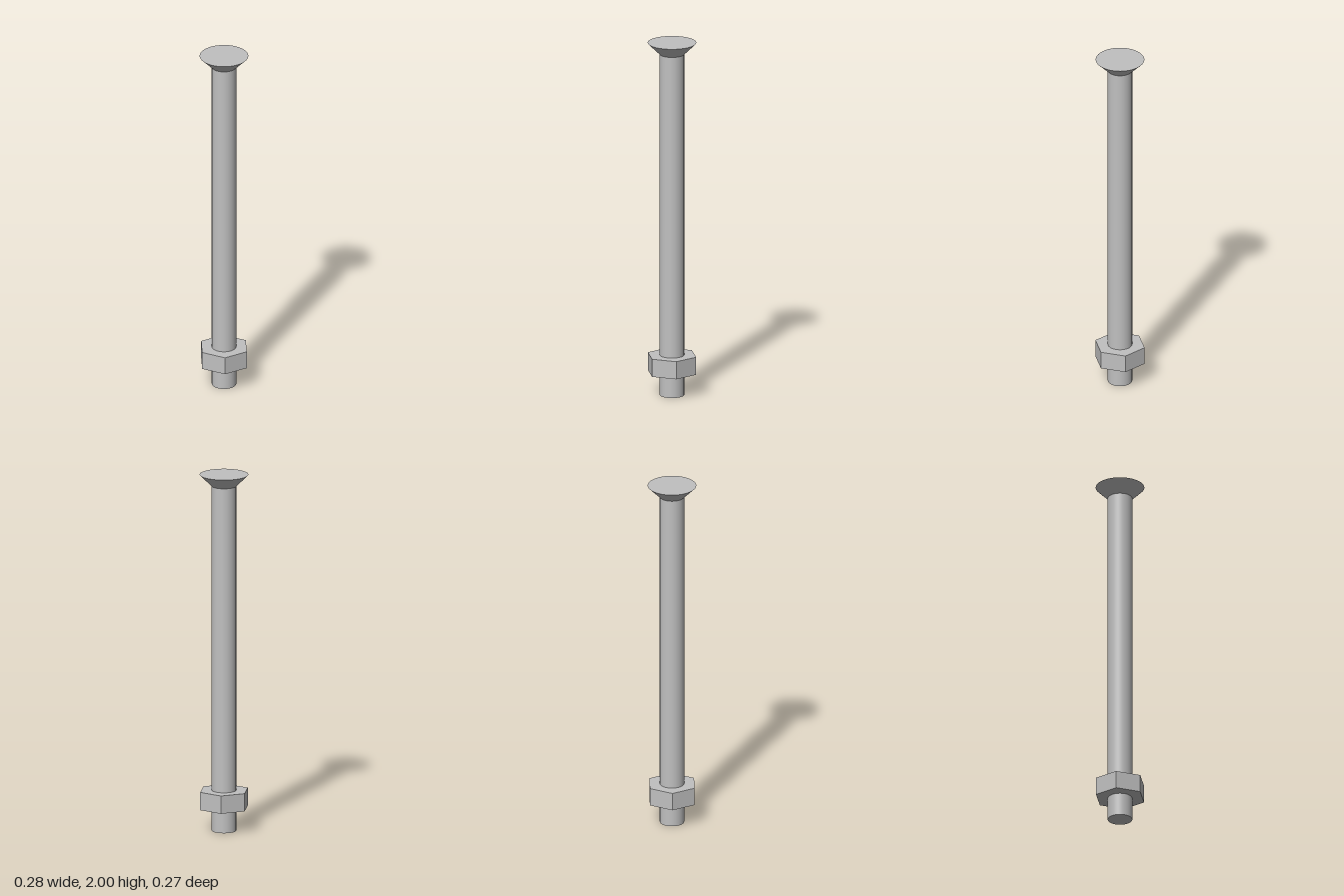
import * as THREE from 'three';

export function createModel() {
  const model = new THREE.Group();
  model.name = 'countersunkBolt';
  const steel = new THREE.MeshStandardMaterial({ color: 0xc0c0c0 });
  steel.name = 'steel';

  const add = (name, geometry) => {
    const mesh = new THREE.Mesh(geometry, steel);
    mesh.name = name;
    model.add(mesh);
  };

  const shaftR = 0.067, headR = 0.133, headY = 1.935;

  // Shaft and flat-topped conical head, turned as one profile;
  // each segment is its own lathe so the rims stay sharp
  const turned = (...pts) =>
    new THREE.LatheGeometry(pts.map(([r, y]) => new THREE.Vector2(r, y)), 64);
  add('shaftEnd', turned([0, 0], [shaftR, 0]));
  add('shaft', turned([shaftR, 0], [shaftR, headY]));
  add('headCone', turned([shaftR, headY], [headR, 2]));
  add('headTop', turned([headR, 2], [0, 2]));

  // Hexagonal nut with a round bore, corners pointing along x
  const hex = new THREE.Shape();
  for (let i = 0; i < 6; i++) {
    const a = (i * Math.PI) / 3;
    const x = 0.141 * Math.cos(a), y = 0.141 * Math.sin(a);
    if (i) hex.lineTo(x, y);
    else hex.moveTo(x, y);
  }
  hex.closePath();
  const bore = new THREE.Path();
  bore.absarc(0, 0, shaftR - 0.001, 0, Math.PI * 2, true);
  hex.holes.push(bore);
  const nut = new THREE.ExtrudeGeometry(hex, { depth: 0.1, bevelEnabled: false, curveSegments: 32 });
  nut.rotateX(-Math.PI / 2).translate(0, 0.127, 0);
  add('nut', nut);

  return model;
}
